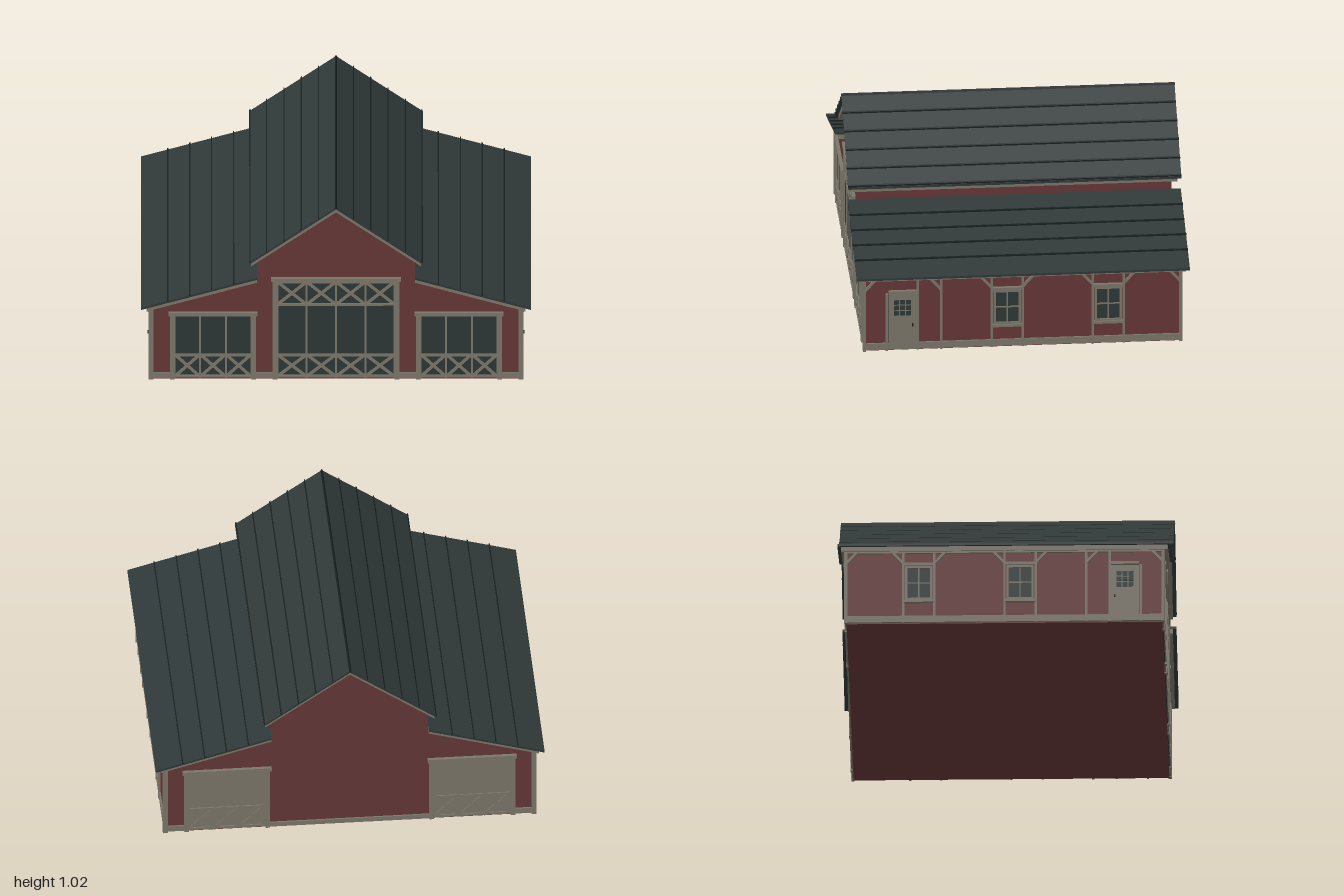
import * as THREE from 'three';

const mat = (name, color) => {
  const m = new THREE.MeshStandardMaterial({ color });
  m.name = name;
  return m;
};

export function createModel() {
  const red = mat('barnRed', 0x663737);
  const trim = mat('weatheredTrim', 0x7c776a);
  const roofMat = mat('roofMetal', 0x2f3938);
  const seamMat = mat('roofSeam', 0x1a2121);
  const glass = mat('darkGlass', 0x2d3737);

  const barn = new THREE.Group();
  barn.name = 'barn';
  const WZ = 0.81, WX = 0.948;

  const add = (parent, name, geo, m) => {
    const mesh = new THREE.Mesh(geo, m);
    mesh.name = name;
    parent.add(mesh);
    return mesh;
  };
  const group = (name, parent = barn) => {
    const g = new THREE.Group();
    g.name = name;
    parent.add(g);
    return g;
  };

  // Polygon in x/y extruded along z, centred
  const prism = (parent, name, pts, halfZ, m) => {
    const shape = new THREE.Shape(pts.map(p => new THREE.Vector2(p[0], p[1])));
    const geo = new THREE.ExtrudeGeometry(shape, { depth: halfZ * 2, bevelEnabled: false });
    geo.translate(0, 0, -halfZ);
    return add(parent, name, geo, m);
  };

  // Flat board lying on a wall whose outward direction is local +z
  const plate = (parent, name, x1, x2, y1, y2, d, m) => {
    const geo = new THREE.BoxGeometry(Math.abs(x2 - x1), y2 - y1, d);
    geo.translate((x1 + x2) / 2, (y1 + y2) / 2, d / 2);
    return add(parent, name, geo, m);
  };

  // Slanted board between two points on a wall
  const bar = (parent, name, x1, y1, x2, y2, w, d, m = trim) => {
    const geo = new THREE.BoxGeometry(Math.hypot(x2 - x1, y2 - y1), w, d);
    geo.rotateZ(Math.atan2(y2 - y1, x2 - x1));
    geo.translate((x1 + x2) / 2, (y1 + y2) / 2, d / 2);
    return add(parent, name, geo, m);
  };

  // Walls: tall centre aisle with a lower wing on each side
  const half = [[WX, 0], [WX, 0.425], [0.405, 0.585], [0.405, 0.698]];
  const mirrored = half.map(p => [-p[0], p[1]]).reverse();
  prism(barn, 'walls', [...half, [0, 0.988], ...mirrored], WZ, red);

  // Roofs: metal sheet, trim board beneath, raised seams
  const slope = (parent, s, a, b, in1, in2, seams) => {
    const at = x => a[1] + (b[1] - a[1]) * (x - a[0]) / (b[0] - a[0]);
    const slab = (x1, x2, top, t) => [
      [s * x1, at(x1) - top], [s * x2, at(x2) - top],
      [s * x2, at(x2) - top - t], [s * x1, at(x1) - top - t]];
    prism(parent, 'roofSheet', slab(a[0], b[0], 0, 0.012), 0.857, roofMat);
    prism(parent, 'roofTrim', slab(in1, in2, 0.012, 0.026), 0.838, trim);
    for (const x of seams) {
      prism(parent, 'roofSeam', slab(x - 0.003, x + 0.003, -0.008, 0.01), 0.858, seamMat);
    }
  };
  for (const s of [1, -1]) {
    const main = group(s > 0 ? 'leftMainRoof' : 'rightMainRoof');
    slope(main, s, [0, 1.008], [0.446, 0.69], 0, 0.436, [0.089, 0.178, 0.267, 0.356, 0.442]);
    const wing = group(s > 0 ? 'leftWingRoof' : 'rightWingRoof');
    slope(wing, s, [0.405, 0.603], [1, 0.43], 0.405, 0.972, [0.525, 0.638, 0.75, 0.863]);
  }
  prism(barn, 'ridgeCap', [[-0.008, 1.0], [0.008, 1.0], [0, 1.016]], 0.858, seamMat);

  // Row of crossed boards with a rail above and below
  const crosses = (parent, x1, x2, n, y1, y2) => {
    const w = (x2 - x1) / n;
    for (let i = 0; i < n; i++) {
      const l = x1 + i * w + 0.008, r = x1 + (i + 1) * w - 0.008;
      bar(parent, 'crossBrace', l, y1 + 0.012, r, y2 - 0.012, 0.016, 0.009);
      bar(parent, 'crossBrace', l, y2 - 0.012, r, y1 + 0.012, 0.016, 0.0095);
    }
    plate(parent, 'rail', x1, x2, y1, y1 + 0.014, 0.011, trim);
    plate(parent, 'rail', x1, x2, y2 - 0.014, y2, 0.011, trim);
  };

  // Carriage door made of n leaves
  const carriageDoor = (parent, name, x1, x2, top, n, fill, upper) => {
    const g = group(name, parent);
    const a = x1 + 0.024, b = x2 - 0.024, w = (b - a) / n;
    plate(g, 'doorPanel', a, b, 0.008, top, 0.005, fill);
    for (const [p, q] of [[x1, a], [b, x2]]) plate(g, 'doorPost', p, q, 0.002, top, 0.014, trim);
    plate(g, 'doorHeader', x1 - 0.008, x2 + 0.008, top, top + 0.02, 0.018, trim);
    for (let i = 0; i <= n; i++) {
      const x = a + i * w;
      plate(g, 'stile', x - 0.005, x + 0.005, 0.008, top, 0.0115, trim);
    }
    crosses(g, a, b, n, 0.01, 0.147);
    if (upper) crosses(g, a, b, n, 0.424, top);
  };

  // Gable ends
  const gable = (name, rotation, fill, hasMainDoor) => {
    const g = group(name);
    g.rotation.y = rotation;
    g.position.z = WZ * Math.cos(rotation);
    for (const s of [1, -1]) {
      carriageDoor(g, 'wingDoor', s > 0 ? 0.41 : -0.852, s > 0 ? 0.852 : -0.41, 0.366, 3, fill, false);
      plate(g, 'cornerPost', s * 0.937, s * 0.962, 0, 0.415, 0.012, trim);
      plate(g, 'baseBoard', s * 0.852, s * 0.937, 0.006, 0.038, 0.008, trim);
      if (hasMainDoor) plate(g, 'baseBoard', s * 0.325, s * 0.41, 0.006, 0.038, 0.008, trim);
    }
    if (hasMainDoor) carriageDoor(g, 'mainDoor', -0.325, 0.325, 0.565, 4, fill, true);
    else plate(g, 'baseBoard', -0.41, 0.41, 0.004, 0.03, 0.008, trim);
  };
  gable('frontWall', 0, glass, true);
  gable('backWall', Math.PI, trim, false);

  // Long side walls, mirrored
  for (const s of [1, -1]) {
    const g = group(s > 0 ? 'leftSide' : 'rightSide');
    g.rotation.y = s * Math.PI / 2;
    g.position.x = s * WX;
    const u = z => -z * s;
    const panel = (name, z1, z2, y1, y2, d, m = trim, p = g) => plate(p, name, u(z1), u(z2), y1, y2, d, m);

    panel('baseBoard', -WZ, WZ, 0.006, 0.042, 0.009);
    panel('eaveBoard', -WZ, WZ, 0.395, 0.418, 0.01);
    for (const z of [0.814, -0.814]) panel('cornerPost', z - 0.008, z + 0.008, 0, 0.41, 0.014);
    for (const z of [0.54, 0.42, 0.16, 0, -0.36, -0.52]) panel('post', z - 0.006, z + 0.006, 0.002, 0.41, 0.013);

    // Diagonal knee braces: post position and direction
    for (const [z, d] of [[0.814, -1], [0.42, 1], [0.16, 1], [0, -1], [-0.36, 1], [-0.52, -1], [-0.814, 1]]) {
      bar(g, 'kneeBrace', u(z), 0.338, u(z + d * 0.055), 0.4, 0.013, 0.011);
    }

    // Entry door with a nine-pane window
    const door = group('entryDoor', g);
    panel('doorLeaf', 0.69, 0.546, 0.006, 0.318, 0.01, trim, door);
    panel('doorPost', 0.706, 0.694, 0.002, 0.322, 0.014, trim, door);
    panel('doorHeader', 0.69, 0.546, 0.322, 0.338, 0.018, trim, door);
    panel('doorGap', 0.694, 0.69, 0.006, 0.318, 0.005, glass, door);
    for (let i = 0; i < 3; i++) for (let j = 0; j < 3; j++) {
      const z = 0.662 - i * 0.031, y = 0.198 + j * 0.031;
      panel('doorPane', z, z - 0.025, y, y + 0.025, 0.0115, glass, door);
    }
    panel('doorHandle', 0.57, 0.563, 0.137, 0.152, 0.018, seamMat, door);

    // Windows
    for (const c of [0.08, -0.44]) {
      const win = group('window', g);
      panel('windowGlass', c - 0.064, c + 0.064, 0.135, 0.318, 0.006, glass, win);
      for (const e of [-1, 1]) panel('windowJamb', c + e * 0.07, c + e * 0.058, 0.13, 0.325, 0.012, trim, win);
      panel('windowHead', c - 0.074, c + 0.074, 0.322, 0.339, 0.018, trim, win);
      panel('windowTopRail', c - 0.064, c + 0.064, 0.31, 0.322, 0.012, trim, win);
      panel('windowBottomRail', c - 0.064, c + 0.064, 0.13, 0.142, 0.012, trim, win);
      panel('windowSill', c - 0.078, c + 0.078, 0.116, 0.13, 0.018, trim, win);
      panel('muntin', c - 0.003, c + 0.003, 0.14, 0.312, 0.009, trim, win);
      panel('muntin', c - 0.06, c + 0.06, 0.223, 0.23, 0.0095, trim, win);
    }
  }
  return barn;
}
